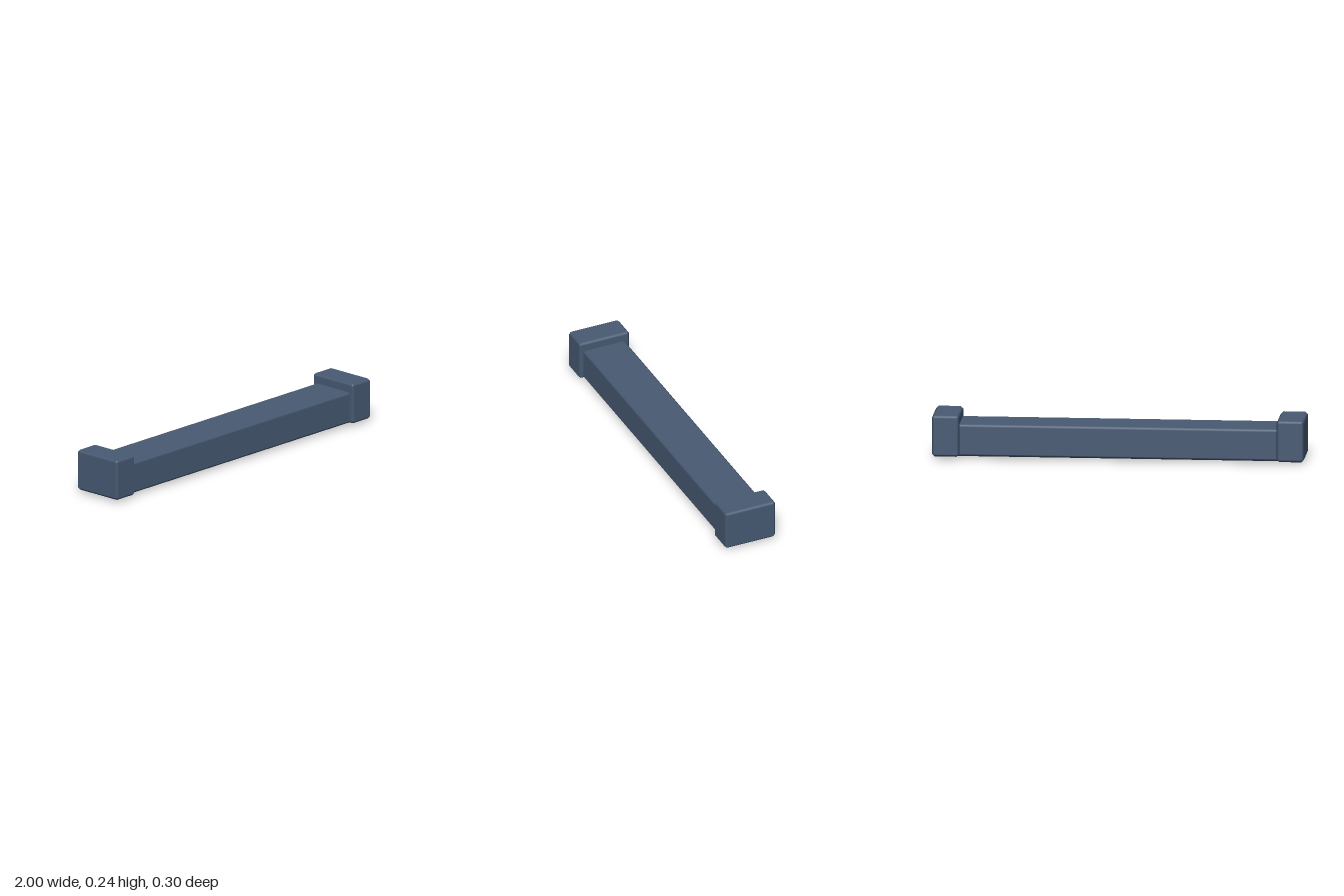
import * as THREE from 'three';

// Box with a softly shaded single-facet chamfer of size c on every edge
function chamferBox(w, h, d, c) {
  const geo = new THREE.BoxGeometry(w, h, d, 3, 3, 3);
  const pos = geo.attributes.position;
  const nor = geo.attributes.normal;
  const half = [w / 2, h / 2, d / 2];
  for (let i = 0; i < pos.count; i++) {
    const p = [pos.getX(i), pos.getY(i), pos.getZ(i)];
    const dir = p.map((v, k) => (Math.abs(v) > half[k] * 0.7 ? Math.sign(v) : 0));
    const sum = dir.reduce((s, v) => s + Math.abs(v), 0);
    const q = p.map((v, k) => Math.sign(v) * (half[k] - c) + (dir[k] / sum) * c);
    pos.setXYZ(i, ...q);
    nor.setXYZ(i, ...dir.map((v) => v / Math.sqrt(sum)));
  }
  return geo;
}

export function createModel() {
  const group = new THREE.Group();

  const slate = new THREE.MeshStandardMaterial({ color: 0x475a73 });
  slate.name = 'slate blue';
  const glow = new THREE.MeshStandardMaterial({ color: 0x74c8de });
  glow.name = 'pale cyan';

  const add = (name, geo, mat, x, y) => {
    const mesh = new THREE.Mesh(geo, mat);
    mesh.name = name;
    mesh.position.set(x, y, 0);
    group.add(mesh);
  };

  // Long beam, its ends tucked into the caps
  add('beam', chamferBox(1.76, 0.174, 0.25, 0.014), slate, 0, 0.103);

  // End caps
  const cap = chamferBox(0.147, 0.224, 0.298, 0.014);
  add('leftEndCap', cap, slate, 0.9265, 0.128);
  add('rightEndCap', cap, slate, -0.9265, 0.128);

  // Light strip under the beam
  add('lightStrip', chamferBox(1.5, 0.026, 0.07, 0.004), glow, 0, 0.013);

  return group;
}
